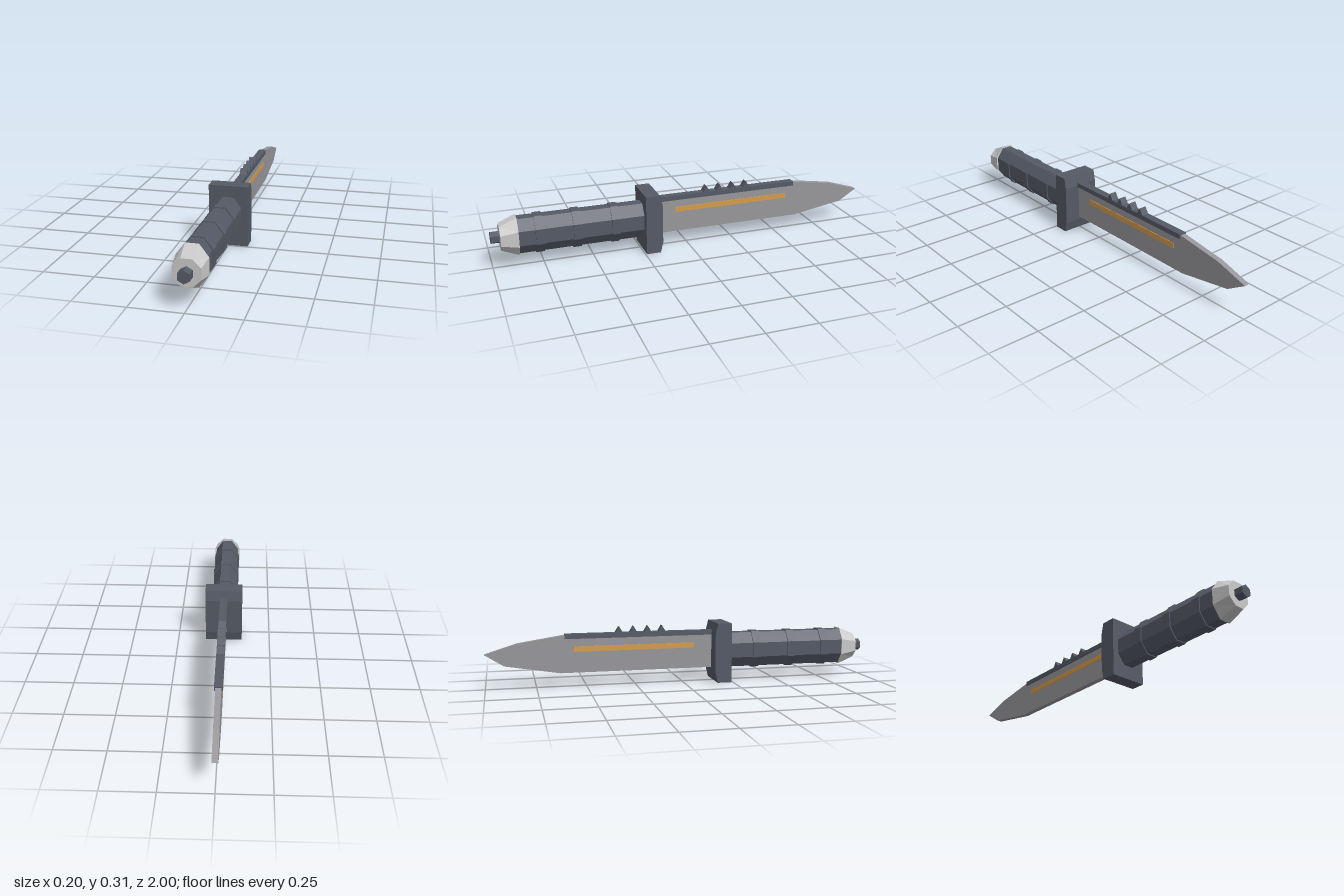
import * as THREE from 'three';

const mat = (name, color) => {
  const m = new THREE.MeshStandardMaterial({ color });
  m.name = name;
  return m;
};

const AXIS_Y = 0.161; // height of the handle axis

export function createModel() {
  const group = new THREE.Group();
  const dark = mat('dark slate', 0x555a66);
  const steel = mat('blade steel', 0x98979b);
  const silver = mat('pommel silver', 0xcacaca);
  const orange = mat('orange inlay', 0xd69c4a);

  const add = (name, geometry, material) => {
    const mesh = new THREE.Mesh(geometry, material);
    mesh.name = name;
    group.add(mesh);
    return mesh;
  };

  // Faceted prism along z; each end has its own elliptical radii [rx, ry]
  const prism = (sides, z0, z1, back, front) => {
    const start = sides === 8 ? Math.PI / 8 : 0;
    const g = new THREE.CylinderGeometry(1, 1, z1 - z0, sides, 1, false, start);
    g.rotateX(Math.PI / 2);
    const p = g.attributes.position;
    for (let i = 0; i < p.count; i++) {
      const [rx, ry] = p.getZ(i) > 0 ? front : back;
      p.setXY(i, p.getX(i) * rx, p.getY(i) * ry);
    }
    g.translate(0, AXIS_Y, (z0 + z1) / 2);
    const flat = g.toNonIndexed();
    flat.computeVertexNormals();
    return flat;
  };

  // Side outline given as [z, y], extruded across x
  const plate = (points, width) => {
    const shape = new THREE.Shape(points.map(([z, y]) => new THREE.Vector2(-z, y)));
    const g = new THREE.ExtrudeGeometry(shape, { depth: width, bevelEnabled: false });
    g.translate(0, 0, -width / 2);
    g.rotateY(Math.PI / 2);
    return g;
  };

  const box = (w, y0, y1, z0, z1) =>
    new THREE.BoxGeometry(w, y1 - y0, z1 - z0).translate(0, (y0 + y1) / 2, (z0 + z1) / 2);

  // Handle: grip, raised bands, pommel and end nut
  const grip = [0.0703, 0.0975];
  const wide = [0.079, 0.1055];
  const bandSize = [0.077, 0.103];
  add('grip', prism(8, 0.24, 0.872, grip, grip), dark);
  [0.39, 0.583, 0.768].forEach((z) =>
    add('gripBand', prism(8, z - 0.021, z + 0.021, bandSize, bandSize), dark));
  add('pommel', prism(8, 0.87, 0.956, wide, [0.0677, 0.0677]), silver);
  add('pommelNut', prism(6, 0.95, 1, [0.031, 0.031], [0.031, 0.031]), dark);

  // Guard, chamfered toward the blade
  add('guard', plate([
    [0.243, 0], [0.169, 0], [0.156, 0.055], [0.156, 0.253], [0.169, 0.308], [0.243, 0.308],
  ], 0.196), dark);

  // Blade
  add('blade', plate([
    [0.165, 0.07], [-0.63, 0.07], [-0.905, 0.116], [-1, 0.176],
    [-0.84, 0.226], [-0.605, 0.262], [0.165, 0.262],
  ], 0.028), steel);

  // Spine rail with saw teeth
  add('spine', box(0.04, 0.243, 0.267, -0.606, 0.165), dark);
  [-0.108, -0.182, -0.256, -0.33].forEach((z) =>
    add('spineTooth', plate([[z + 0.022, 0.262], [z - 0.022, 0.262], [z, 0.298]], 0.038), dark));

  // Inlay strips on both faces
  [-1, 1].forEach((s) =>
    add('inlay', box(0.006, 0.177, 0.204, -0.564, 0.062).translate(s * 0.014, 0, 0), orange));

  return group;
}
